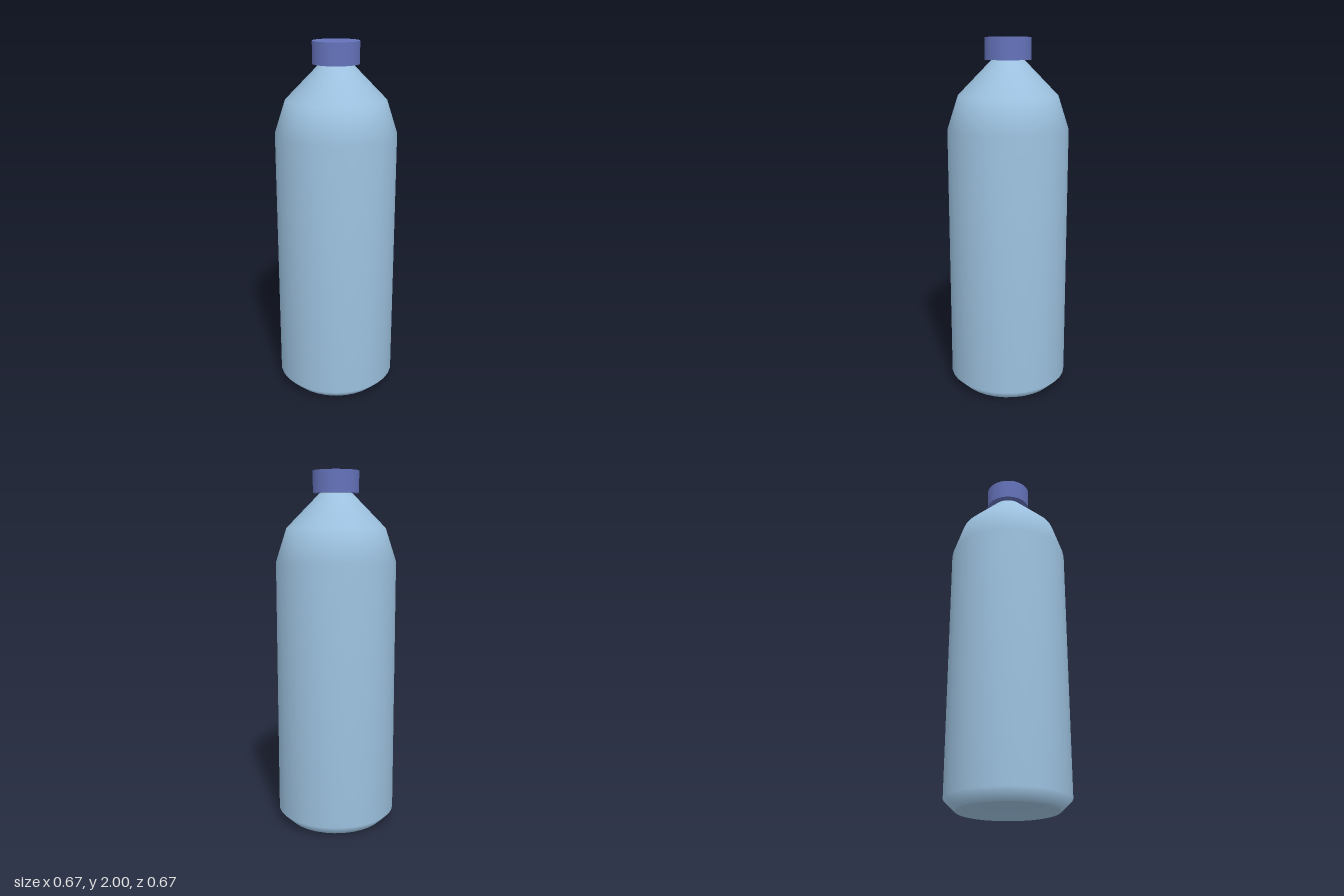
import * as THREE from 'three';

const SEGMENTS = 32;

// Smooth surface of revolution from [radius, height] pairs
function lathe(name, profile, material) {
  const points = profile.map(([r, y]) => new THREE.Vector2(r, y));
  const mesh = new THREE.Mesh(new THREE.LatheGeometry(points, SEGMENTS), material);
  mesh.name = name;
  return mesh;
}

export function createModel() {
  const bottleBlue = new THREE.MeshStandardMaterial({ name: 'bottle blue', color: 0x9dc2e0 });
  const capBlue = new THREE.MeshStandardMaterial({ name: 'cap blue', color: 0x6573bb });

  const group = new THREE.Group();
  group.name = 'bottle';

  // Body: chamfered foot, straight wall, two-step shoulder and short neck
  group.add(lathe('body', [
    [0.275, 0], [0.337, 0.06], [0.337, 1.505], [0.277, 1.69], [0.09, 1.88], [0.09, 1.9],
  ], bottleBlue));

  // Shallow hollow under the foot, with a sharp rim
  group.add(lathe('base', [[0, 0.05], [0.15, 0.038], [0.275, 0]], bottleBlue));

  // Screw cap
  const cap = new THREE.Mesh(new THREE.CylinderGeometry(0.128, 0.128, 0.12, SEGMENTS), capBlue);
  cap.name = 'cap';
  cap.position.y = 1.94;
  group.add(cap);

  return group;
}
